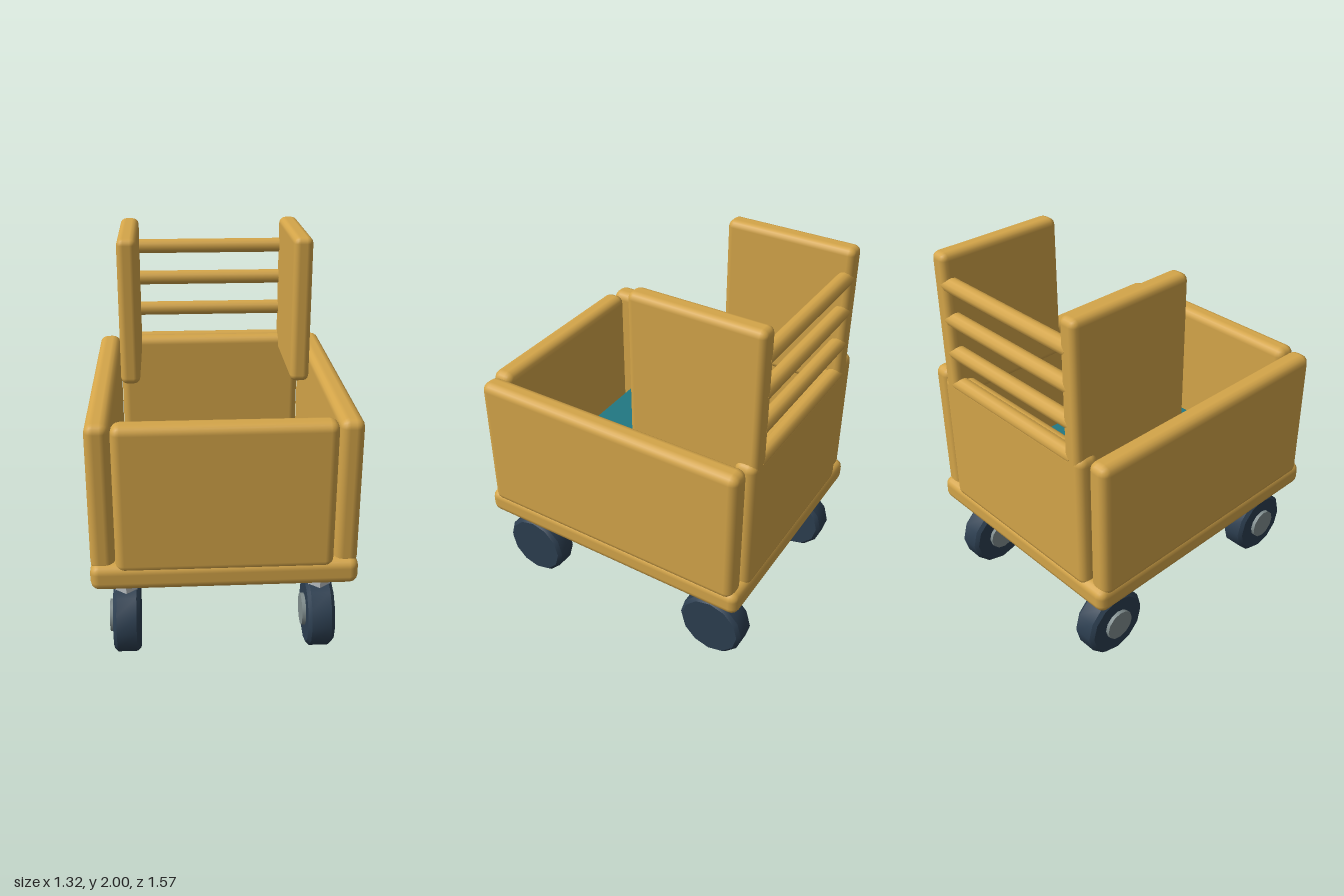
import * as THREE from 'three';
import { RoundedBoxGeometry } from 'three/addons/geometries/RoundedBoxGeometry.js';
import { toCreasedNormals } from 'three/addons/utils/BufferGeometryUtils.js';

export function createModel() {
  const root = new THREE.Group();
  root.name = 'rollingCrate';

  const mat = (name, color) => {
    const m = new THREE.MeshStandardMaterial({ color });
    m.name = name;
    return m;
  };
  const wood = mat('wood', 0xd4a549);
  const fabric = mat('tealFabric', 0x217883);
  const rubber = mat('darkRubber', 0x2c3e50);
  const metal = mat('lightMetal', 0xbdc3c7);
  const hubMetal = mat('greyMetal', 0x7f8c8d);

  const add = (name, geometry, material, x, y, z, parent = root) => {
    const mesh = new THREE.Mesh(geometry, material);
    mesh.name = name;
    mesh.position.set(x, y, z);
    parent.add(mesh);
    return mesh;
  };
  // Rounded board given by its size and centre
  const board = (name, w, h, d, x, y, z, r = 0.045, material = wood) =>
    add(name, new RoundedBoxGeometry(w, h, d, 2, r), material, x, y, z);

  // Base and cushion
  board('base', 1.32, 0.135, 1.565, 0, 0.513, 0, 0.045);
  board('cushion', 1.075, 0.16, 1.26, 0, 0.58, 0, 0.012, fabric);

  // Walls
  board('frontPanel', 1.07, 0.77, 0.12, 0, 0.921, 0.72);
  board('backPanel', 1.07, 0.77, 0.12, 0, 0.921, -0.72);
  for (const s of [-1, 1]) {
    const side = s > 0 ? 'left' : 'right';
    board(side + 'Panel', 0.12, 0.77, 1.505, s * 0.598, 0.921, 0);
    board(side + 'Upright', 0.104, 0.79, 0.7, s * 0.462, 1.605, -0.43, 0.035);
  }

  // Back rest rods between the uprights
  const rodGeo = new THREE.CylinderGeometry(0.041, 0.041, 0.9, 12);
  for (let i = 0; i < 4; i++) {
    add('backRod', rodGeo, wood, 0, 1.28 + i * 0.186, -0.741).rotation.z = Math.PI / 2;
  }

  // Casters: bevelled wheel, hub cap on the -x side, six-sided post
  const r = 0.183, h = 0.068, b = 0.018;
  const profile = [[0, -h], [r - b, -h], [r, -h + b], [r, h - b], [r - b, h], [0, h]]
    .map(([x, y]) => new THREE.Vector2(x, y));
  const wheelGeo = toCreasedNormals(new THREE.LatheGeometry(profile, 12), 0.6);
  const hubGeo = new THREE.CylinderGeometry(0.083, 0.083, 0.04, 12);
  const postGeo = toCreasedNormals(new THREE.CylinderGeometry(0.064, 0.064, 0.2, 6), 0.3);
  for (const x of [-0.493, 0.493]) {
    for (const z of [-0.584, 0.584]) {
      const caster = new THREE.Group();
      caster.name = 'caster';
      caster.position.set(x, r, z);
      root.add(caster);
      add('wheel', wheelGeo, rubber, 0, 0, 0, caster).rotation.z = Math.PI / 2;
      add('hub', hubGeo, hubMetal, -0.068, 0.005, 0, caster).rotation.z = Math.PI / 2;
      add('post', postGeo, metal, 0, 0.18, 0, caster);
    }
  }
  return root;
}
